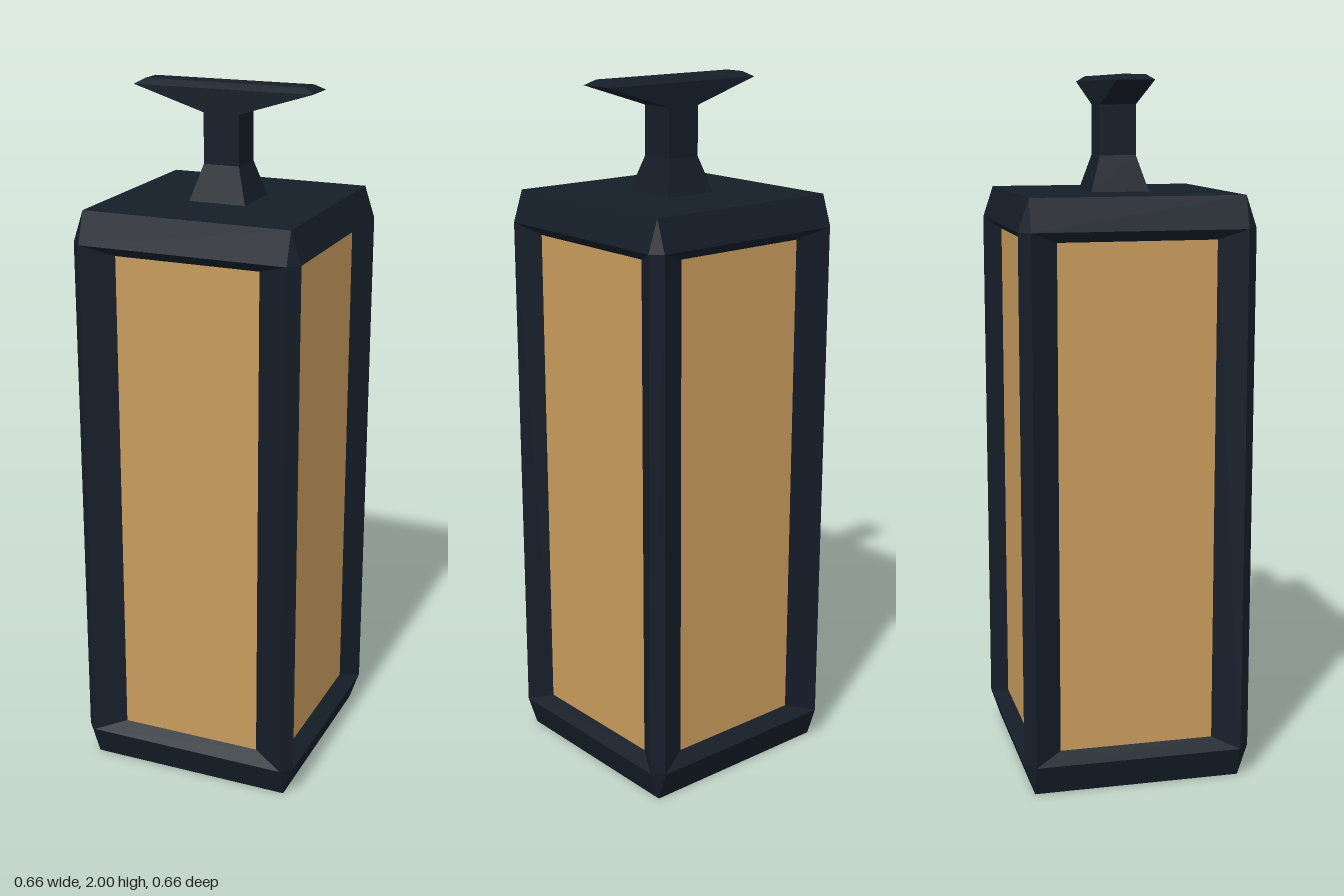
import * as THREE from 'three';

const frameMat = new THREE.MeshStandardMaterial({ color: 0x151d28, flatShading: true });
const paneMat = new THREE.MeshStandardMaterial({ color: 0xc89b5c });

// Flat-faced mesh from polygons listed counter-clockwise seen from outside
function facetMesh(name, polygons) {
  const points = [];
  for (const p of polygons) {
    for (let i = 1; i < p.length - 1; i++) {
      const tri = new THREE.Triangle(p[0], p[i], p[i + 1]);
      if (tri.getArea() > 1e-7) points.push(tri.a, tri.b, tri.c);
    }
  }
  const geometry = new THREE.BufferGeometry().setFromPoints(points);
  geometry.computeVertexNormals();
  const mesh = new THREE.Mesh(geometry, frameMat);
  mesh.name = name;
  return mesh;
}

// Rectangular ring with corners cut by c, two points per corner
function ring(y, hx, hz, c = 0) {
  const pts = [];
  [[1, 1], [1, -1], [-1, -1], [-1, 1]].forEach(([sx, sz], i) => {
    const onZ = new THREE.Vector3(sx * (hx - c), y, sz * hz);
    const onX = new THREE.Vector3(sx * hx, y, sz * (hz - c));
    pts.push(...(i % 2 ? [onX, onZ] : [onZ, onX]));
  });
  return pts;
}

// Side faces joining two rings; cornersOnly leaves the four main faces open
function band(a, b, cornersOnly = false) {
  const faces = [];
  for (let i = 0; i < 8; i++) {
    if (cornersOnly && i % 2) continue;
    const j = (i + 1) % 8;
    faces.push([a[i], a[j], b[j], b[i]]);
  }
  return faces;
}

export function createModel() {
  const model = new THREE.Group();
  model.name = 'lantern';

  // Casing: bevelled base and lid joined by chamfered corner posts
  const foot = ring(0, 0.3, 0.3), low = ring(0.09, 0.33, 0.33, 0.03);
  const high = ring(1.59, 0.33, 0.33, 0.03), crown = ring(1.68, 0.3, 0.3);
  model.add(
    facetMesh('base', [[...foot].reverse(), ...band(foot, low)]),
    facetMesh('cornerPosts', band(low, high, true)),
    facetMesh('lid', [...band(high, crown), crown])
  );

  // Four recessed windows: sloping surround and glass pane
  const rect = (w, y0, y1, z) => [[-w, y0], [w, y0], [w, y1], [-w, y1]]
    .map(([x, y]) => new THREE.Vector3(x, y, z));
  for (let k = 0; k < 4; k++) {
    const w = k % 2 ? 0.223 : 0.21;
    const outer = rect(0.3, 0.09, 1.59, 0.33), inner = rect(w, 0.12, 1.56, 0.29);
    const side = new THREE.Group();
    side.name = 'window';
    side.add(facetMesh('windowSurround', outer.map((p, i) => {
      const j = (i + 1) % 4;
      return [p, outer[j], inner[j], inner[i]];
    })));
    const pane = new THREE.Mesh(new THREE.PlaneGeometry(2 * w, 1.44), paneMat);
    pane.name = 'glassPane';
    pane.position.set(0, 0.84, 0.29);
    side.add(pane);
    side.rotation.y = k * Math.PI / 2;
    model.add(side);
  }

  // Handle: flared foot, square stem and wide grip with a bevelled top
  const stem = [ring(1.68, 0.083, 0.083), ring(1.78, 0.052, 0.052), ring(1.92, 0.052, 0.052)];
  const gripEdge = ring(1.985, 0.262, 0.052), gripTop = ring(2, 0.235, 0.032);
  model.add(
    facetMesh('handleStem', [...band(stem[0], stem[1]), ...band(stem[1], stem[2])]),
    facetMesh('handleGrip', [...band(stem[2], gripEdge), ...band(gripEdge, gripTop), gripTop])
  );
  return model;
}
